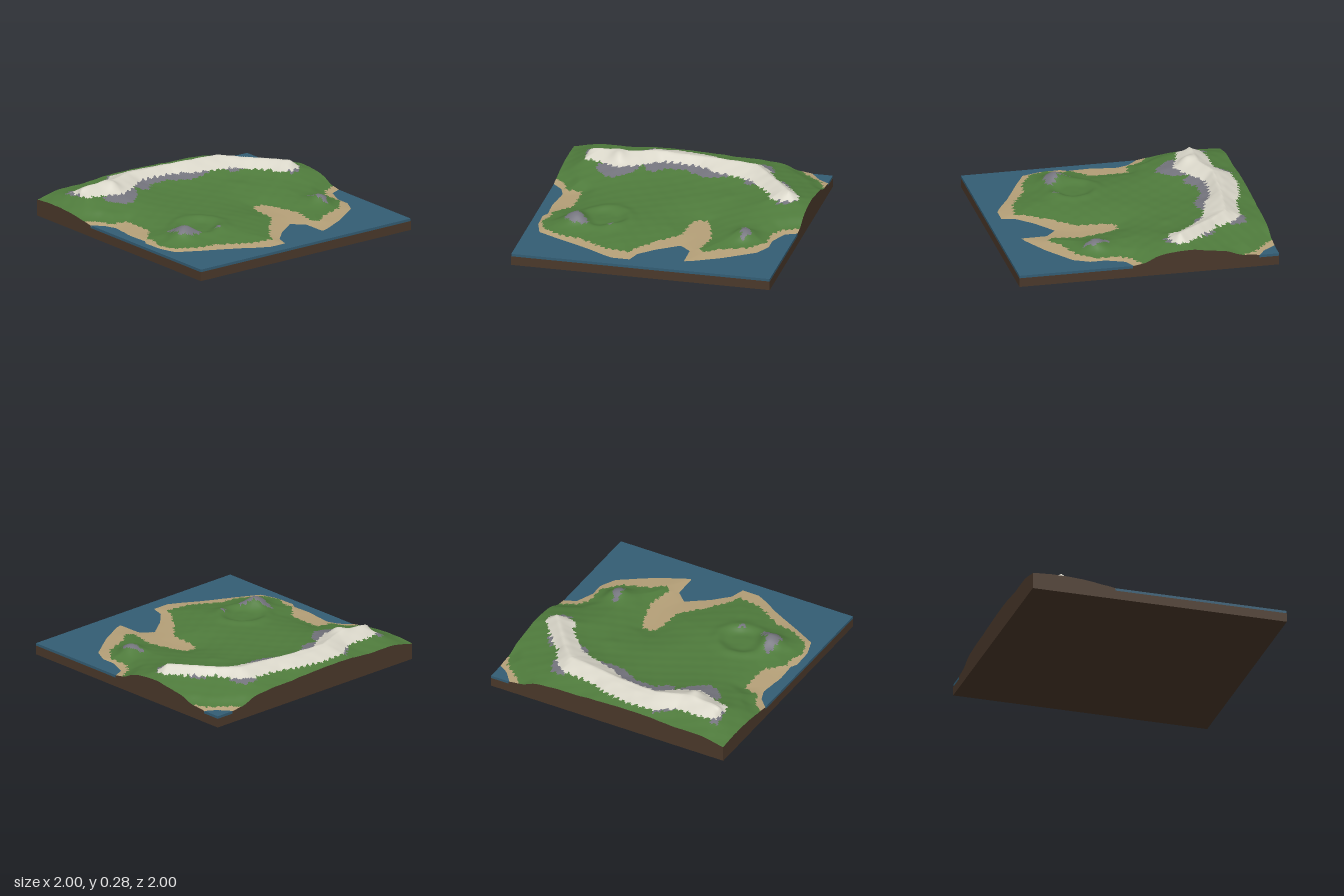
import * as THREE from 'three';

const WATER = 0.09, BED = 0.07, N = 160;

// Plan outlines (x, z)
const coast = [[-1.6, -0.6], [-1, -0.35], [-0.92, -0.27], [-0.89, -0.18], [-0.92, 0.04], [-0.91, 0.2], [-0.94, 0.25],
  [-0.93, 0.42], [-0.89, 0.55], [-0.72, 0.64], [-0.46, 0.77], [-0.33, 0.85], [-0.25, 0.89], [-0.11, 0.89], [-0.08, 0.78],
  [0.03, 0.67], [0.2, 0.55], [0.29, 0.63], [0.29, 0.83], [0.35, 0.81], [0.56, 0.7], [0.79, 0.54], [0.85, 0.42],
  [0.85, 0.3], [0.91, 0.16], [1, 0.12], [1.7, 0.1], [1.7, -0.5], [1, -0.85], [0.92, -0.9], [0.84, -1], [0.6, -1.7], [-1.7, -1.7]];
const meadow = [[-1.6, -0.75], [-1, -0.42], [-0.92, -0.36], [-0.87, -0.25], [-0.75, -0.22], [-0.75, 0.06], [-0.88, 0.18],
  [-0.87, 0.28], [-0.92, 0.36], [-0.87, 0.5], [-0.7, 0.6], [-0.55, 0.62], [-0.35, 0.75], [-0.15, 0.78], [-0.1, 0.68],
  [0.05, 0.5], [0.17, 0.35], [0.18, 0.15], [0.22, 0.08], [0.3, 0.09], [0.35, 0.2], [0.4, 0.4], [0.36, 0.6], [0.42, 0.65],
  [0.5, 0.57], [0.7, 0.5], [0.82, 0.38], [0.82, 0.2], [0.87, 0.12], [1, 0.05], [1.6, 0], [1.6, -0.45], [1, -0.73],
  [0.95, -0.83], [0.84, -0.92], [0.75, -1], [0.5, -1.6], [-1.6, -1.6]];
const snow = [[-0.83, -0.8], [-0.72, -0.83], [-0.5, -0.83], [-0.42, -0.88], [-0.35, -0.93], [-0.15, -0.94], [0.1, -0.9],
  [0.2, -0.85], [0.5, -0.82], [0.58, -0.73], [0.65, -0.6], [0.8, -0.45], [0.92, -0.3], [0.9, -0.22], [0.8, -0.19],
  [0.7, -0.22], [0.68, -0.3], [0.58, -0.42], [0.47, -0.52], [0.3, -0.58], [0.15, -0.62], [0.05, -0.68], [-0.1, -0.7],
  [-0.25, -0.7], [-0.38, -0.61], [-0.46, -0.57], [-0.55, -0.53], [-0.68, -0.58], [-0.83, -0.62]];
const crest = [[-0.82, -0.71], [-0.5, -0.71], [-0.3, -0.78], [0.1, -0.75], [0.48, -0.7], [0.6, -0.58], [0.84, -0.27]];
const rocks = [
  [[-0.72, -0.56], [-0.7, -0.5], [-0.62, -0.42], [-0.55, -0.4], [-0.45, -0.48], [-0.38, -0.6], [-0.5, -0.62]],
  [[-0.4, -0.64], [-0.33, -0.56], [-0.28, -0.56], [-0.2, -0.63], [-0.05, -0.63], [0.05, -0.58], [0.1, -0.55],
    [0.18, -0.54], [0.3, -0.56], [0.3, -0.62], [0, -0.75], [-0.25, -0.75]],
  [[0.4, -0.58], [0.45, -0.47], [0.52, -0.46], [0.6, -0.41], [0.5, -0.56]],
  [[-0.86, -0.84], [-0.79, -0.85], [-0.79, -0.62], [-0.84, -0.7]],
  [[-0.5, -0.84], [-0.36, -0.96], [-0.34, -0.9], [-0.45, -0.82]],
  [[0.45, -0.86], [0.57, -0.84], [0.62, -0.72], [0.5, -0.7]],
  [[0.73, -0.58], [0.8, -0.48], [0.79, -0.4], [0.7, -0.5]],
  [[0.74, -0.22], [0.78, -0.16], [0.85, -0.18], [0.93, -0.24], [0.8, -0.26]],
  [[-0.71, 0.22], [-0.66, 0.22], [-0.63, 0.33], [-0.54, 0.4], [-0.56, 0.44], [-0.68, 0.44], [-0.73, 0.38]],
  [[-0.41, 0.42], [-0.36, 0.37], [-0.34, 0.38], [-0.37, 0.43]],
  [[0.6, 0.24], [0.64, 0.22], [0.66, 0.29], [0.71, 0.33], [0.68, 0.39], [0.64, 0.43], [0.62, 0.36]],
];

// Distance from a point to an open or closed line
function distance(line, x, z, closed = true) {
  let best = Infinity;
  for (let i = closed ? 0 : 1; i < line.length; i++) {
    const [ax, az] = line[(i + line.length - 1) % line.length], [bx, bz] = line[i];
    const dx = bx - ax, dz = bz - az;
    const t = THREE.MathUtils.clamp(((x - ax) * dx + (z - az) * dz) / (dx * dx + dz * dz), 0, 1);
    best = Math.min(best, Math.hypot(x - ax - t * dx, z - az - t * dz));
  }
  return best;
}

function inside(poly, x, z) {
  let hit = false;
  for (let i = 0, j = poly.length - 1; i < poly.length; j = i++) {
    const [ax, az] = poly[i], [bx, bz] = poly[j];
    if ((az > z) !== (bz > z) && x < (bx - ax) * (z - az) / (bz - az) + ax) hit = !hit;
  }
  return hit;
}

const smooth = (v, a, b) => THREE.MathUtils.smoothstep(v, a, b);
const bump = (x, z, cx, cz, size) => Math.exp(-((x - cx) ** 2 + (z - cz) ** 2) / (size * size));

// Ground height: sea bed, beach, meadow, then hills and the snowy ridge
function height(x, z) {
  const dc = distance(coast, x, z);
  if (!inside(coast, x, z)) return Math.max(BED + 0.004, WATER - 0.2 * dc);
  const dm = distance(meadow, x, z);
  if (!inside(meadow, x, z)) return WATER + 0.012 * dc / (dc + dm + 1e-6);
  const ds = distance(snow, x, z);
  const land = smooth(dm, 0, 0.12);
  const base = 0.102 + 0.038 * smooth(dm, -0.08, 0.35) - 0.038 * smooth(0, -0.08, 0.35) * (1 - land);
  let h;
  if (inside(snow, x, z)) {
    h = 0.2 + 0.068 * ds / (ds + distance(crest, x, z, false) + 0.012);
    h += 0.035 * bump(x, z, -0.57, -0.64, 0.06) * smooth(ds, 0, 0.05);
  } else {
    h = base + (0.2 - base) * Math.exp(-ds / 0.2) * land;
    h -= 0.03 * smooth(-x, 0.8, 1) * land;
  }
  // Crater bowl with its rim, and the two coastal peaks
  const r = Math.hypot(x + 0.45, z - 0.27);
  h += land * (0.014 * Math.exp(-(((r - 0.19) / 0.05) ** 2)) - 0.018 * (1 - smooth(r, 0.08, 0.19)));
  h += land * (0.06 * bump(x, z, -0.67, 0.36, 0.09) + 0.015 * bump(x, z, -0.37, 0.4, 0.05));
  h += land * (0.052 * bump(x, z, 0.65, 0.34, 0.09) + 0.01 * bump(x, z, 0.36, -0.28, 0.08));
  return h + land * 0.0015 * Math.sin(x * 37 + z * 11) * Math.sin(z * 41 - x * 9);
}

// Ground cover: 0 sand, 1 grass, 2 rock, 3 snow, with ragged borders
function cover(x, z) {
  const jx = x + 0.008 * Math.sin(z * 95 + 3 * Math.sin(x * 40));
  const jz = z + 0.01 * Math.sin(x * 110 + 3 * Math.sin(z * 35));
  if (inside(snow, jx, jz)) return 3;
  if (rocks.some((p) => inside(p, jx, jz))) return 2;
  return inside(meadow, jx, jz) ? 1 : 0;
}

export function createModel() {
  const mat = (name, color, extra = {}) => {
    const m = new THREE.MeshStandardMaterial({ color, ...extra });
    m.name = name;
    return m;
  };
  const earth = mat('earth', 0x4a382a, { side: THREE.DoubleSide });
  const water = mat('water', 0x335d74);
  const covers = [mat('sand', 0xb5a078), mat('grass', 0x4f7b3c), mat('rock', 0x74747d), mat('snow', 0xd8d5c8)];

  const model = new THREE.Group();
  model.name = 'islandTerrain';
  const add = (name, geometry, material, y = 0) => {
    const mesh = new THREE.Mesh(geometry, material);
    mesh.name = name;
    mesh.position.y = y;
    model.add(mesh);
  };

  // Earth block and the sea on it
  add('earthBase', new THREE.BoxGeometry(2, BED, 2), earth, BED / 2);
  add('sea', new THREE.BoxGeometry(1.998, WATER - BED, 1.998), water, (WATER + BED) / 2);

  // Ground surface, sorted into one group of faces per cover
  const at = (i) => -1 + 2 * i / N;
  const pos = [];
  for (let j = 0; j <= N; j++) for (let i = 0; i <= N; i++) pos.push(at(i), height(at(i), at(j)), at(j));
  const faces = [[], [], [], []];
  const triangle = (...t) => {
    if (t.every((v) => pos[v * 3 + 1] < WATER)) return;
    const mid = (k) => t.reduce((s, v) => s + pos[v * 3 + k], 0) / 3;
    faces[cover(mid(0), mid(2))].push(...t);
  };
  for (let j = 0; j < N; j++) for (let i = 0; i < N; i++) {
    const a = j * (N + 1) + i, b = a + N + 1;
    triangle(a, b, a + 1);
    triangle(a + 1, b, b + 1);
  }
  const ground = new THREE.BufferGeometry();
  ground.setAttribute('position', new THREE.Float32BufferAttribute(pos, 3));
  ground.setIndex(faces.flat());
  let start = 0;
  faces.forEach((f, k) => {
    ground.addGroup(start, f.length, k);
    start += f.length;
  });
  ground.computeVertexNormals();
  add('ground', ground, covers);

  // Cut earth walls where the land reaches the border
  const wall = [];
  const edges = [(t) => [t, 1], (t) => [1, -t], (t) => [-t, -1], (t) => [-1, t]];
  for (const edge of edges) for (let i = 0; i < N; i++) {
    const [ax, az] = edge(at(i)), [bx, bz] = edge(at(i + 1));
    const ha = height(ax, az), hb = height(bx, bz);
    if (Math.max(ha, hb) <= WATER) continue;
    wall.push(ax, BED, az, bx, BED, bz, bx, hb, bz, ax, BED, az, bx, hb, bz, ax, ha, az);
  }
  const walls = new THREE.BufferGeometry();
  walls.setAttribute('position', new THREE.Float32BufferAttribute(wall, 3));
  walls.computeVertexNormals();
  add('earthWalls', walls, earth);

  return model;
}
